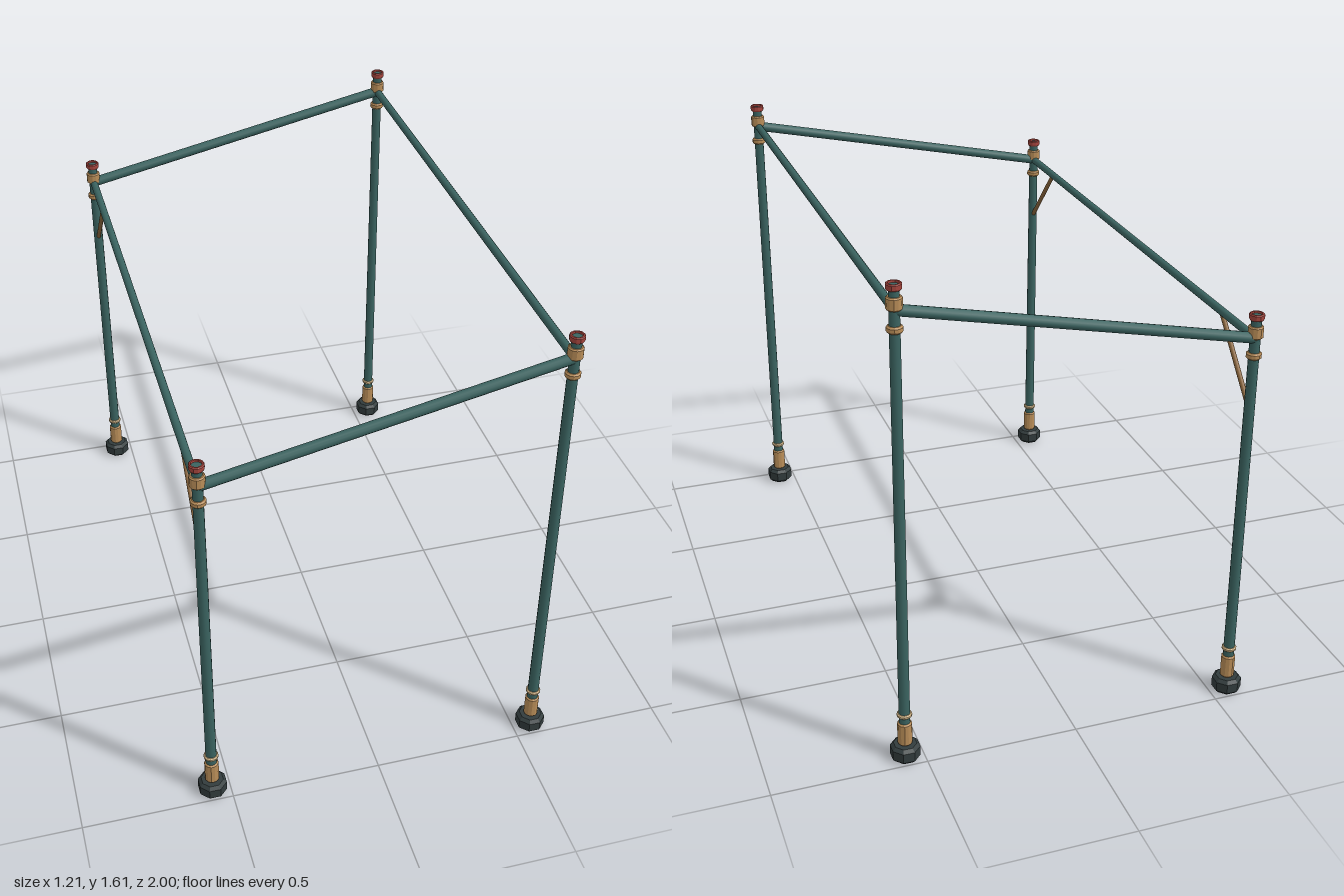
import * as THREE from 'three';

const material = (name, color, flatShading = false) => {
  const m = new THREE.MeshStandardMaterial({ color });
  m.name = name;
  m.flatShading = flatShading;
  return m;
};

export function createModel() {
  const root = new THREE.Group();
  root.name = 'canopyFrame';
  const green = material('pipeGreen', 0x3b6461);
  const tan = material('fittingTan', 0xb98d58, true);
  const cream = material('ringCream', 0xd2b586, true);
  const red = material('capRed', 0xa5453d, true);
  const dark = material('footDark', 0x323c3d, true);
  const brown = material('braceBrown', 0x8c673d);

  const X = 0.56, Z = 0.955;
  const LOW = 1.285, HIGH = 1.525;

  const add = (parent, name, geometry, mat) => {
    const mesh = new THREE.Mesh(geometry, mat);
    mesh.name = name;
    parent.add(mesh);
    return mesh;
  };

  // Straight round bar between two points
  const bar = (parent, name, a, b, r0, r1, mat) => {
    const start = new THREE.Vector3(...a), end = new THREE.Vector3(...b);
    const dir = end.clone().sub(start);
    const mesh = add(parent, name, new THREE.CylinderGeometry(r1, r0, dir.length(), 12), mat);
    mesh.position.copy(start).add(end).multiplyScalar(0.5);
    mesh.quaternion.setFromUnitVectors(new THREE.Vector3(0, 1, 0), dir.normalize());
    return mesh;
  };

  // Turned collar with bevelled rims
  const collar = (parent, name, y0, y1, r, bevel, mat, sides = 12) => {
    const profile = [[0, y0], [r - bevel, y0], [r, y0 + bevel], [r, y1 - bevel], [r - bevel, y1], [0, y1]]
      .map(([px, py]) => new THREE.Vector2(px, py));
    return add(parent, name, new THREE.LatheGeometry(profile, sides, Math.PI / sides), mat);
  };

  // Ring-shaped cap around the open end of a post
  const capRing = (parent, y) => {
    const profile = [[0.016, y], [0.021, y], [0.024, y + 0.005], [0.024, y + 0.018], [0.021, y + 0.021],
      [0.0165, y + 0.021], [0.016, y]].map(([px, py]) => new THREE.Vector2(px, py));
    add(parent, 'cap', new THREE.LatheGeometry(profile, 12), red);
  };

  // Four posts, each with foot, sleeve, collars and cap
  for (const sx of [-1, 1]) {
    const beamY = sx < 0 ? LOW : HIGH;
    for (const sz of [-1, 1]) {
      const post = new THREE.Group();
      post.name = (sz > 0 ? 'front' : 'back') + (sx > 0 ? 'Left' : 'Right') + 'Post';
      post.position.set(sx * X, 0, sz * Z);
      root.add(post);

      bar(post, 'pole', [0, 0.03, 0], [0, beamY + 0.074, 0], 0.0185, 0.0165, green);
      collar(post, 'foot', 0, 0.055, 0.0485, 0.011, dark, 8);
      collar(post, 'sleeve', 0.055, 0.137, 0.0235, 0.005, tan);
      collar(post, 'lowerRing', 0.158, 0.172, 0.0245, 0.004, cream);
      collar(post, 'upperRing', beamY - 0.067, beamY - 0.045, 0.0245, 0.005, tan);
      collar(post, 'beamCollar', beamY + 0.001, beamY + 0.041, 0.0245, 0.004, tan);
      capRing(post, beamY + 0.06);
    }
  }

  // Long beams along the sides
  for (const [x, y, name] of [[-X, LOW, 'lowBeam'], [X, HIGH, 'highBeam']]) {
    bar(root, name, [x, y, -Z], [x, y, Z], 0.0135, 0.0135, green);
  }

  for (const sz of [-1, 1]) {
    // Sloping rafters across the ends
    bar(root, 'rafter', [-X, LOW, sz * Z], [X, HIGH, sz * Z], 0.0175, 0.0175, green);
    // Diagonal braces under the low beam
    bar(root, 'brace', [-X, 1.05, sz * 0.95], [-X, 1.285, sz * 0.732], 0.008, 0.008, brown);
  }

  return root;
}
